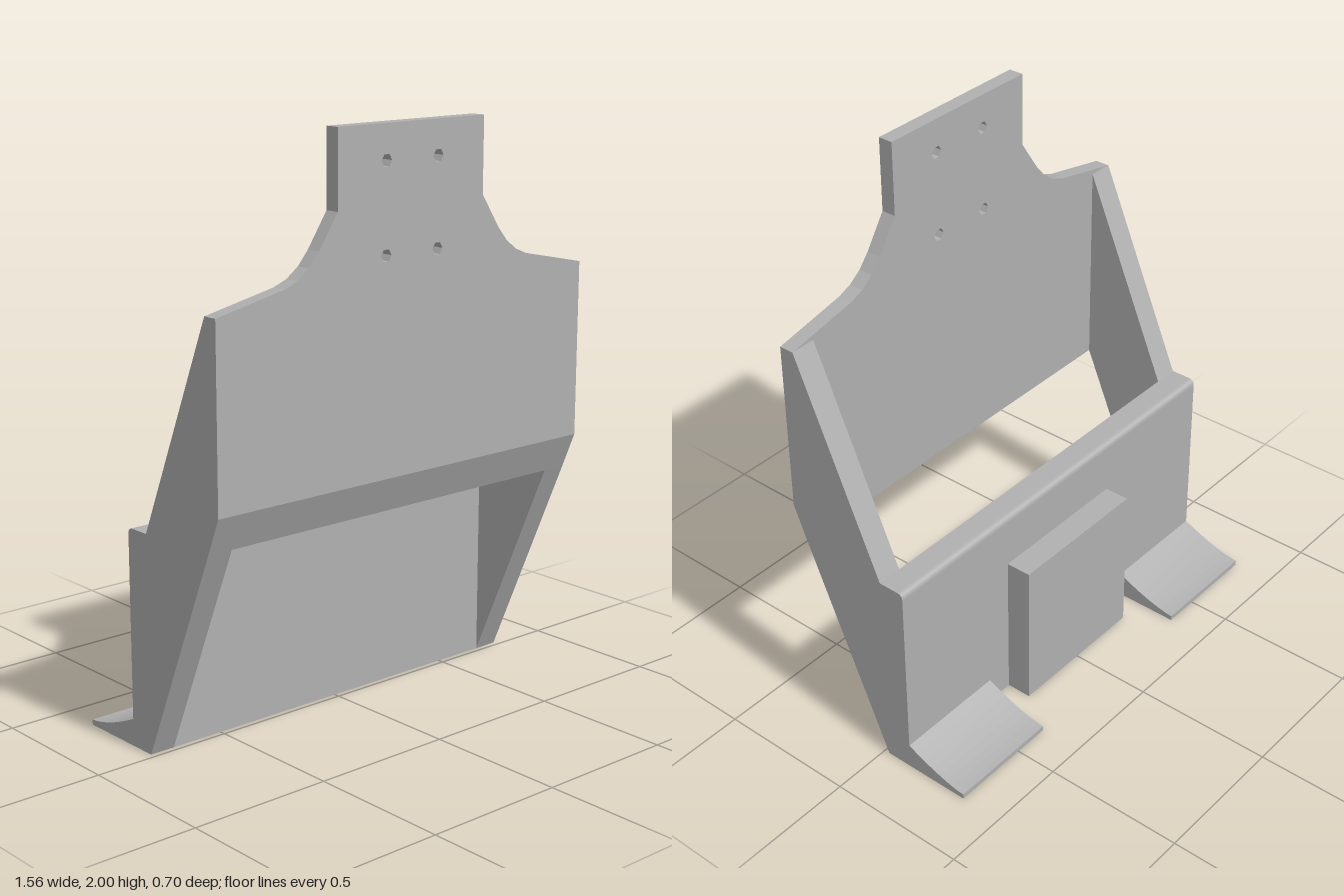
import * as THREE from 'three';

const grey = new THREE.MeshStandardMaterial({ color: 0xb0b0b0 });
grey.name = 'plain grey';

function add(group, name, geometry) {
  const mesh = new THREE.Mesh(geometry, grey);
  mesh.name = name;
  group.add(mesh);
  return mesh;
}

// Extrude a side profile of (z, y) points along x, from x0 to x1
function sideProfile(shape, x0, x1) {
  const g = new THREE.ExtrudeGeometry(shape, { depth: x1 - x0, bevelEnabled: false, curveSegments: 8 });
  return g.rotateY(-Math.PI / 2).translate(x1, 0, 0);
}

const polygon = (points) => new THREE.Shape(points.map(([a, b]) => new THREE.Vector2(a, b)));

export function createModel() {
  const group = new THREE.Group();
  group.name = 'mountedHolder';
  const W = 0.782, INNER = 0.692, FRONT = 0.35, FACE = 0.298, BACK = -0.115, MID = -0.02;

  // Front plate with a necked mounting tab
  const half = [[W, 0.87], [W, 1.477], [0.52, 1.532], [0.47, 1.552], [0.425, 1.585],
    [0.385, 1.632], [0.31, 1.745], [0.31, 2]];
  const plate = polygon([...half, ...half.map(([x, y]) => [-x, y]).reverse()]);
  for (const x of [-0.11, 0.11]) {
    for (const y of [1.59, 1.885]) {
      const hole = new THREE.Path();
      for (let i = 0; i < 6; i++) {
        const a = -i * Math.PI / 3;
        const px = x + 0.022 * Math.cos(a), py = y + 0.022 * Math.sin(a);
        if (i) hole.lineTo(px, py); else hole.moveTo(px, py);
      }
      hole.closePath();
      plate.holes.push(hole);
    }
  }
  const plateGeo = new THREE.ExtrudeGeometry(plate, { depth: FRONT - FACE, bevelEnabled: false });
  // Drop the rear bottom edge so the underside follows the sloping side walls
  const pos = plateGeo.attributes.position;
  for (let i = 0; i < pos.count; i++) {
    if (pos.getY(i) < 0.88 && pos.getZ(i) < 0.01) pos.setY(i, 0.745);
  }
  plateGeo.computeVertexNormals();
  plateGeo.translate(0, 0, FACE);
  add(group, 'frontPlate', plateGeo);

  // Back wall with a rounded top rear edge
  const wall = new THREE.Shape();
  wall.moveTo(MID, 0);
  wall.lineTo(MID, 0.74);
  wall.lineTo(BACK + 0.022, 0.74);
  wall.quadraticCurveTo(BACK, 0.74, BACK, 0.718);
  wall.lineTo(BACK, 0);
  wall.closePath();
  add(group, 'backWall', sideProfile(wall, -W, W));

  // Raised pad on the back wall
  const pad = new THREE.BoxGeometry(0.54, 0.545, 0.092);
  pad.translate(0, 0.2725, BACK - 0.045);
  add(group, 'backPad', pad);

  // Sloping side walls and curved rear feet, mirrored
  for (const [side, x0, x1, f0, f1] of [['left', INNER, W, 0.37, W], ['right', -W, -INNER, -W, -0.37]]) {
    const arm = polygon([[MID, 0], [FACE, 0.745], [FACE, 1.478], [MID, 0.74]]);
    add(group, side + 'SideWall', sideProfile(arm, x0, x1));

    const foot = new THREE.Shape();
    foot.moveTo(BACK, 0);
    foot.lineTo(BACK, 0.093);
    foot.quadraticCurveTo(-0.26, 0.024, -0.35, 0.018);
    foot.lineTo(-0.35, 0);
    foot.closePath();
    add(group, side + 'Foot', sideProfile(foot, f0, f1));
  }
  return group;
}
